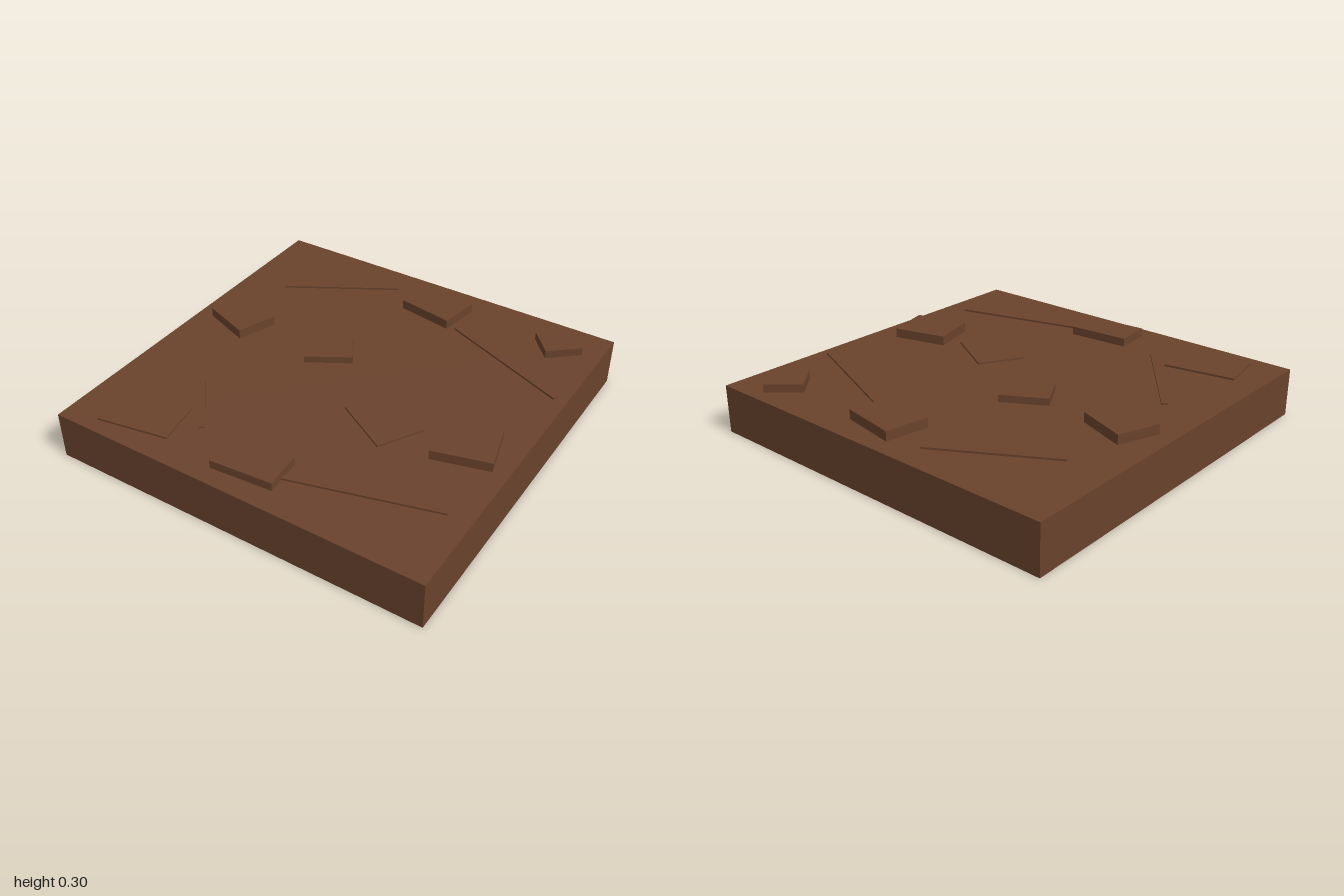
import * as THREE from 'three';

export function createModel() {
  const model = new THREE.Group();
  const soil = new THREE.MeshStandardMaterial({ color: 0x69422c });
  soil.name = 'brown soil';
  const TOP = 0.25;

  const block = (name, w, h, d, x, y, z, turn = 0) => {
    const mesh = new THREE.Mesh(new THREE.BoxGeometry(w, h, d), soil);
    mesh.name = name;
    mesh.position.set(x, y + h / 2, z);
    mesh.rotation.y = turn;
    model.add(mesh);
  };

  // Ground tile
  block('groundBlock', 2, TOP, 2, 0, 0, 0);

  // Raised clods: x, z, width, depth, height, turn
  [
    [0.075, -0.775, 0.30, 0.223, 0.05, -0.17],
    [0.772, -0.803, 0.174, 0.195, 0.043, -0.85],
    [-0.75, -0.127, 0.271, 0.223, 0.05, -0.35],
    [-0.2, -0.128, 0.245, 0.195, 0.037, 0.53],
    [0.323, 0.198, 0.324, 0.246, 0.01, -0.525],
    [0.748, 0.172, 0.295, 0.247, 0.05, 0.26],
    [-0.652, 0.773, 0.373, 0.245, 0.01, 0.175],
    [-0.001, 0.797, 0.324, 0.198, 0.044, 0.08],
  ].forEach(([x, z, w, d, h, turn], i) => block(`clod${i + 1}`, w, h, d, x, TOP, z, turn));

  // Thin ridges: start x, z and end x, z
  [
    [-0.76, -0.53, -0.21, -0.85],
    [0.25, -0.67, 0.94, -0.39],
    [-0.76, 0.21, -0.36, 0.71],
    [0.15, 0.79, 0.88, 0.59],
  ].forEach(([x0, z0, x1, z1], i) => {
    const dx = x1 - x0, dz = z1 - z0;
    block(`ridge${i + 1}`, Math.hypot(dx, dz), 0.01, 0.03,
      (x0 + x1) / 2, TOP, (z0 + z1) / 2, -Math.atan2(dz, dx));
  });

  return model;
}
